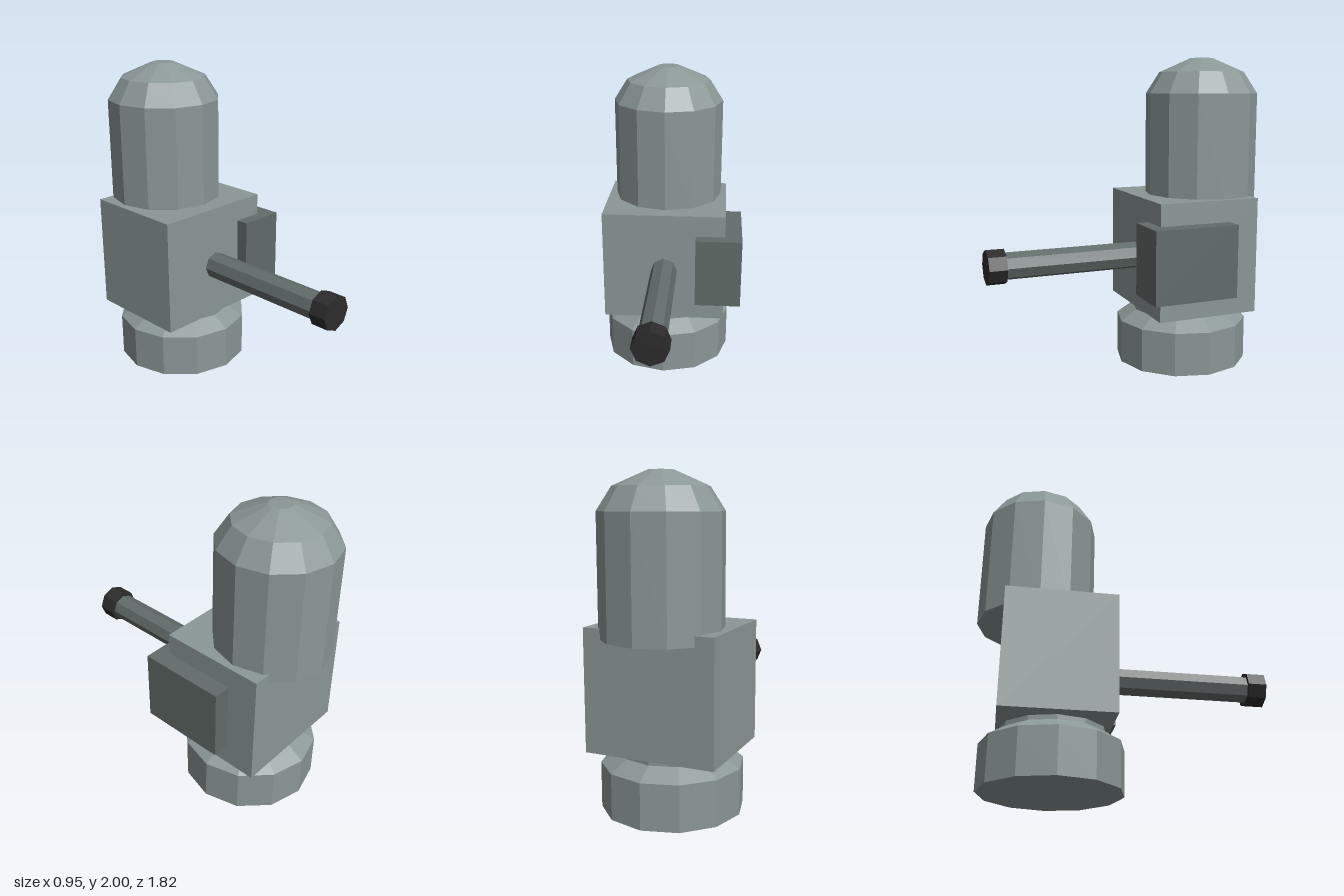
import * as THREE from 'three';

const paint = (name, color) => {
  const m = new THREE.MeshStandardMaterial({ color, flatShading: true });
  m.name = name;
  return m;
};

export function createModel() {
  const grey = paint('light grey metal', 0x8c9797);
  const dark = paint('dark grey metal', 0x626c6a);
  const black = paint('black metal', 0x2c2c2c);

  const model = new THREE.Group();
  model.name = 'turret';

  const add = (name, geometry, material, x, y, z) => {
    const mesh = new THREE.Mesh(geometry, material);
    mesh.name = name;
    mesh.position.set(x, y, z);
    model.add(mesh);
    return mesh;
  };

  // box given by its lower and upper corners
  const box = (name, material, lo, hi) => {
    const size = hi.map((v, i) => v - lo[i]);
    const mid = hi.map((v, i) => (v + lo[i]) / 2);
    add(name, new THREE.BoxGeometry(...size), material, ...mid);
  };

  // twelve-sided turned part from [radius, height] pairs, bottom to top
  const turned = (name, material, points, x, z) => {
    const profile = points.map(([r, y]) => new THREE.Vector2(r, y));
    add(name, new THREE.LatheGeometry(profile, 12), material, x, 0, z);
  };

  // eight-sided rod lying along z
  const rod = (name, material, radius, z0, z1) => {
    const geometry = new THREE.CylinderGeometry(radius, radius, z1 - z0, 8);
    geometry.rotateX(Math.PI / 2);
    add(name, geometry, material, -0.043, 0.725, (z0 + z1) / 2);
  };

  const axisX = -0.043;

  // swivel base with bevelled shoulder and neck
  turned('base', grey,
    [[0, 0], [0.433, 0], [0.433, 0.28], [0.325, 0.347], [0.325, 0.39], [0, 0.39]],
    axisX, -0.412);

  // main housing and side box
  box('housing', grey, [-0.45, 0.375, -0.752], [0.36, 1.118, -0.077]);
  box('sideBox', dark, [0.168, 0.515, -0.553], [0.47, 0.978, 0.003]);

  // domed drum, overhanging the back of the housing
  turned('dome', grey,
    [[0, 1.055], [0.365, 1.055], [0.365, 1.773], [0.277, 1.91], [0.072, 2], [0, 2]],
    axisX, -0.545);

  // barrel and muzzle
  rod('barrel', dark, 0.087, -0.15, 0.81);
  rod('muzzle', black, 0.111, 0.797, 0.911);

  return model;
}
